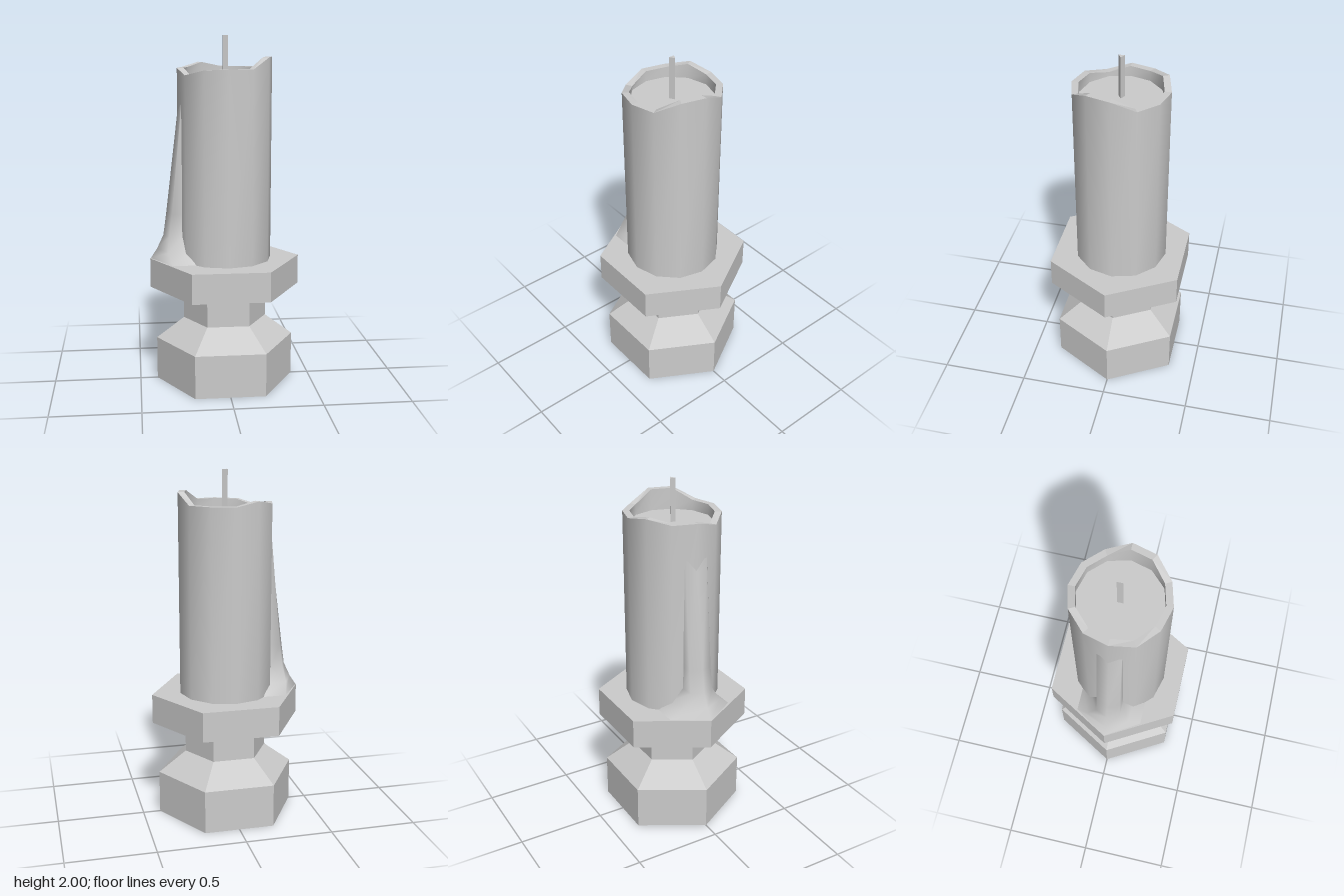
import * as THREE from 'three';

const smooth = new THREE.MeshStandardMaterial({ color: 0xcccccc, side: THREE.DoubleSide });
const faceted = new THREE.MeshStandardMaterial({ color: 0xcccccc, side: THREE.DoubleSide, flatShading: true });

// Skin between consecutive rings of points, each ring open or closed
function skin(rings, closed) {
  const n = rings[0].length;
  const index = [];
  for (let i = 0; i < rings.length - 1; i++) {
    for (let j = 0; j < (closed ? n : n - 1); j++) {
      const k = (j + 1) % n;
      const a = i * n + j, b = i * n + k, c = a + n, d = b + n;
      index.push(a, c, b, b, c, d);
    }
  }
  const geometry = new THREE.BufferGeometry();
  geometry.setAttribute('position', new THREE.Float32BufferAttribute(rings.flat(2), 3));
  geometry.setIndex(index);
  geometry.computeVertexNormals();
  return geometry;
}

// Twelve-sided ring; the height may differ at each corner
function ring(radius, height) {
  return Array.from({ length: 12 }, (_, i) => {
    const a = (i * Math.PI) / 6;
    return [radius * Math.cos(a), Array.isArray(height) ? height[i] : height, radius * Math.sin(a)];
  });
}

export function createModel() {
  const group = new THREE.Group();
  const add = (name, geometry, material, parent = group) => {
    const mesh = new THREE.Mesh(geometry, material);
    mesh.name = name;
    parent.add(mesh);
    return mesh;
  };

  // Hexagonal holder: hollow foot, sloped shoulder, neck and drip plate
  const profile = [
    [0.4, 0], [0.4, 0.25], [0.24, 0.37], [0.24, 0.56],
    [0.433, 0.56], [0.433, 0.73], [0, 0.73],
  ].map(([r, y]) => new THREE.Vector2(r, y));
  add('holder', new THREE.LatheGeometry(profile, 6, Math.PI / 2), faceted);

  // Candle with an unevenly melted rim around a sunken pool
  const candle = new THREE.Group();
  candle.name = 'candle';
  group.add(candle);
  const rimHeights = [1.88, 1.88, 1.82, 1.82, 1.815, 1.785, 1.82, 1.82, 1.845, 1.82, 1.82, 1.82];
  const outer = ring(0.268, rimHeights);
  const inner = ring(0.23, rimHeights);
  const pool = ring(0.23, 1.76);
  add('candleWall', skin([ring(0.268, 0.73), outer], true), smooth, candle);
  add('candleRim', skin([outer, inner], true), faceted, candle);
  add('candleInnerWall', skin([inner, pool], true), smooth, candle);
  const surface = add('waxPool', new THREE.CircleGeometry(0.23, 12), smooth, candle);
  surface.rotation.x = -Math.PI / 2;
  surface.position.y = 1.76;

  // Three-sided wick
  const wick = add('wick', new THREE.CylinderGeometry(0.019, 0.019, 0.24, 3, 1, false, Math.PI / 2), faceted);
  wick.position.y = 1.88;

  // Wax run down the right side, flaring onto the plate
  // Each section: height, edge x and z, shoulder x and z, ridge x
  const sections = [
    [0.732, -0.18, 0.192, -0.31, 0.192, -0.43],
    [0.79, -0.215, 0.13, -0.333, 0.12, -0.392],
    [0.87, -0.25, 0.075, -0.325, 0.07, -0.355],
    [1.0, -0.25, 0.072, -0.308, 0.068, -0.337],
    [1.62, -0.247, 0.07, -0.252, 0.066, -0.262],
  ];
  const run = sections.map(([y, ex, ez, sx, sz, rx]) => [
    [ex, y, ez], [sx, y, sz], [rx, y, 0], [sx, y, -sz], [ex, y, -ez],
  ]);
  add('waxRun', skin(run, false), smooth);

  return group;
}
